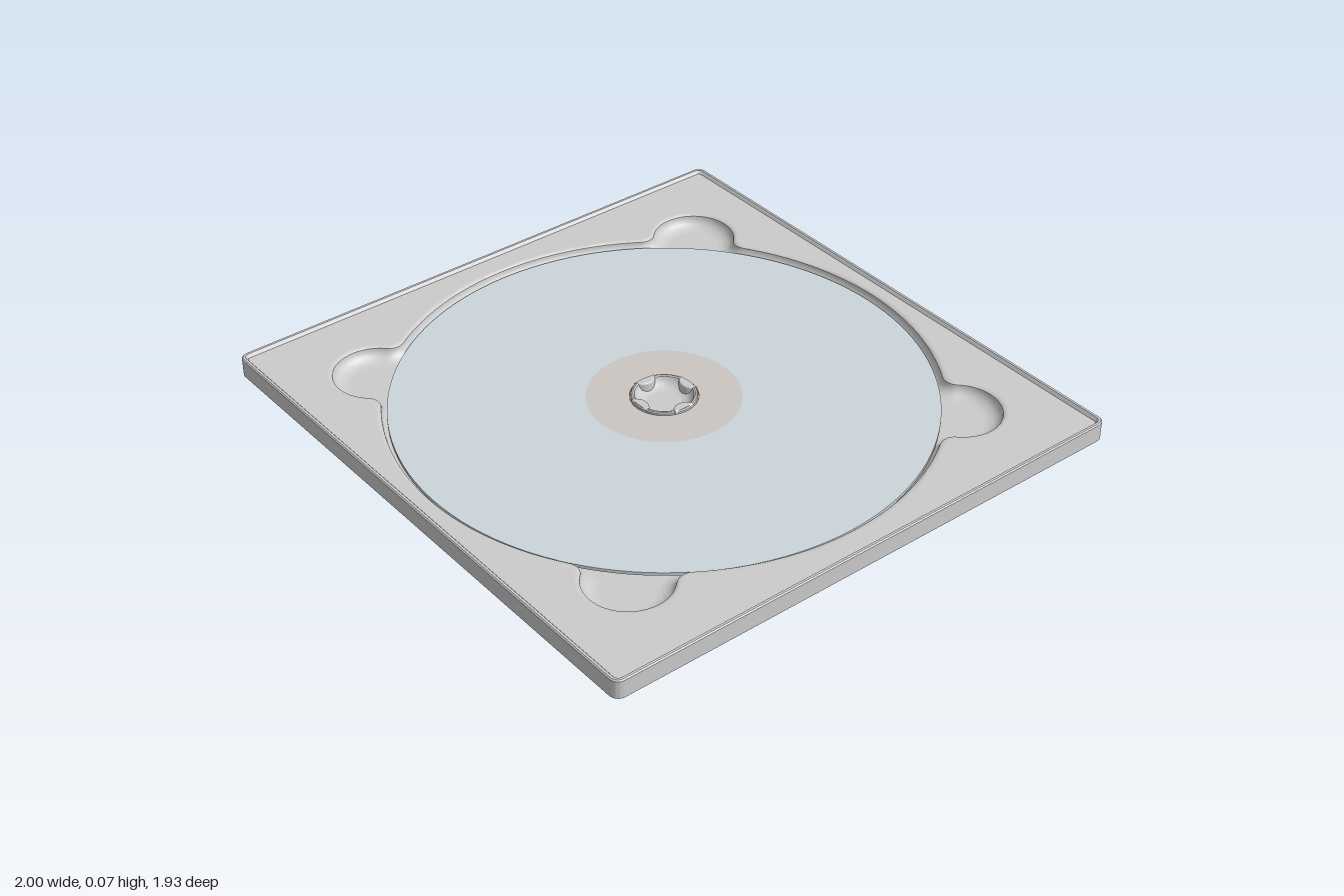
import * as THREE from 'three';
import { toCreasedNormals } from 'three/addons/utils/BufferGeometryUtils.js';

const grey = new THREE.MeshStandardMaterial({ color: 0xcccccc, side: THREE.DoubleSide });
const discBlue = new THREE.MeshStandardMaterial({ color: 0xcbd5da, side: THREE.DoubleSide });
const ringWarm = new THREE.MeshStandardMaterial({ color: 0xccc6c2, side: THREE.DoubleSide });

function arc(out, cx, cy, r, a0, a1, n) {
  for (let i = 0; i <= n; i++) {
    const a = a0 + (a1 - a0) * i / n;
    out.push(new THREE.Vector2(cx + r * Math.cos(a), cy + r * Math.sin(a)));
  }
}

// Rounded rectangle of the tray, moved inwards by d
function trayOutline(d) {
  const pts = [], r = 0.032, x = 1 - r, y = 0.967 - r;
  [[1, 1], [-1, 1], [-1, -1], [1, -1]].forEach(([sx, sy], k) =>
    arc(pts, sx * x, sy * y, r - d, k * Math.PI / 2, (k + 1) * Math.PI / 2, 8));
  return pts;
}

// Disc well with four finger notches and blended necks, moved inwards by d
function wellOutline(d) {
  const R = 0.905, r = 0.148, f = 0.04, D = 0.933;
  const A = R + f, B = r + f;
  const alpha = Math.acos((D * D + A * A - B * B) / (2 * D * A));
  const fx = A * Math.cos(alpha), fy = A * Math.sin(alpha);
  const beta = Math.atan2(-fy, fx - D);
  const local = [];
  arc(local, fx, -fy, f + d, Math.PI - alpha, beta + Math.PI, 8);
  arc(local, D, 0, r - d, beta, -beta, 28);
  arc(local, fx, fy, f + d, -beta - Math.PI, alpha - Math.PI, 8);
  arc(local, 0, 0, R - d, alpha, Math.PI / 2 - alpha, 32);
  // drop the doubled points where arcs meet
  const joints = [9, 38, 47, local.length - 1];
  const quarter = local.filter((p, i) => !joints.includes(i));
  const pts = [], o = new THREE.Vector2();
  for (let k = 0; k < 4; k++)
    for (const p of quarter) pts.push(p.clone().rotateAround(o, Math.PI / 4 + k * Math.PI / 2));
  return pts;
}

// Sweep a closed [inset, height] profile around an outline
function loft(outline, profile) {
  const pos = [], idx = [], m = profile.length;
  let n = 0;
  for (const [d, y] of profile) {
    const ring = outline(d);
    n = ring.length;
    for (const p of ring) pos.push(p.x, y, -p.y);
  }
  for (let i = 0; i < m; i++)
    for (let j = 0; j < n; j++) {
      const k = (j + 1) % n, i2 = (i + 1) % m;
      const a = i * n + j, b = i * n + k, c = i2 * n + k, e = i2 * n + j;
      idx.push(a, b, c, a, c, e);
    }
  const g = new THREE.BufferGeometry();
  g.setAttribute('position', new THREE.Float32BufferAttribute(pos, 3));
  g.setIndex(idx);
  return toCreasedNormals(g, 0.6);
}

// Flat slab between two heights
function slab(points, y0, y1, hole, bevel = 0) {
  const shape = new THREE.Shape(points);
  if (hole) shape.holes.push(new THREE.Path(hole));
  const g = new THREE.ExtrudeGeometry(shape, {
    depth: y1 - y0 - bevel, bevelEnabled: bevel > 0, bevelSize: bevel,
    bevelThickness: bevel, bevelOffset: -bevel, bevelSegments: 3
  });
  return g.rotateX(-Math.PI / 2).translate(0, y0, 0);
}

function lathe(points, segments = 128) {
  const g = new THREE.LatheGeometry(points.map(p => new THREE.Vector2(...p)), segments);
  return toCreasedNormals(g, 0.6);
}

export function createModel() {
  const model = new THREE.Group();
  const add = (name, geometry, material = grey) => {
    const mesh = new THREE.Mesh(geometry, material);
    mesh.name = name;
    model.add(mesh);
    return mesh;
  };

  // Skirt with a low raised lip, open underneath
  add('outerRim', loft(trayOutline, [
    [0, 0], [0, 0.062], [0.004, 0.066], [0.012, 0.066],
    [0.02, 0.055], [0.02, 0.045], [0.012, 0.045], [0.012, 0]
  ]));
  add('traySheet', slab(trayOutline(0.02), 0.045, 0.055, wellOutline(-0.01)));

  // Well wall curving into the floor on both faces
  const wall = [], steps = 7;
  for (let i = 0; i <= steps; i++) {
    const t = Math.PI / 2 * (1 - i / steps);
    wall.push([0.06 - 0.065 * Math.cos(t), 0.045 - 0.045 * Math.sin(t)]);
  }
  wall.push([-0.01, 0.055], [0, 0.055], [0.005, 0.053]);
  for (let i = 0; i <= steps; i++) {
    const t = Math.PI / 2 * i / steps;
    wall.push([0.06 - 0.052 * Math.cos(t), 0.05 - 0.04 * Math.sin(t)]);
  }
  add('wellWall', loft(wellOutline, wall));
  add('wellFloor', slab(wellOutline(0.06), 0, 0.01));

  // Raised seat and hollow hub in the middle
  add('hub', lathe([
    [0.27, 0.01], [0.26, 0.024], [0.108, 0.024], [0.108, 0.04], [0.105, 0.044],
    [0.1, 0.045], [0.095, 0.042], [0.092, 0.034], [0.085, 0.022], [0.072, 0.013], [0.055, 0.01]
  ], 64));

  // Four clips around the hub
  const clipShape = [];
  arc(clipShape, 0, 0, 1, 0, Math.PI, 16);
  clipShape.forEach(p => p.set(p.x * 0.038, p.y * 0.032));
  const clipGeometry = slab(clipShape, 0.01, 0.046, null, 0.006).translate(0, 0, 0.104);
  for (let k = 0; k < 4; k++) add('hubClip', clipGeometry).rotation.y = k * Math.PI / 2;

  // Disc with a plain inner ring
  const band = (r0, r1) => lathe([
    [r0, 0.025], [r1, 0.025], [r1, 0.036], [r0, 0.036], [r0, 0.025]
  ]);
  add('disc', band(0.25, 0.88), discBlue);
  add('discInnerRing', band(0.111, 0.25), ringWarm);
  return model;
}
